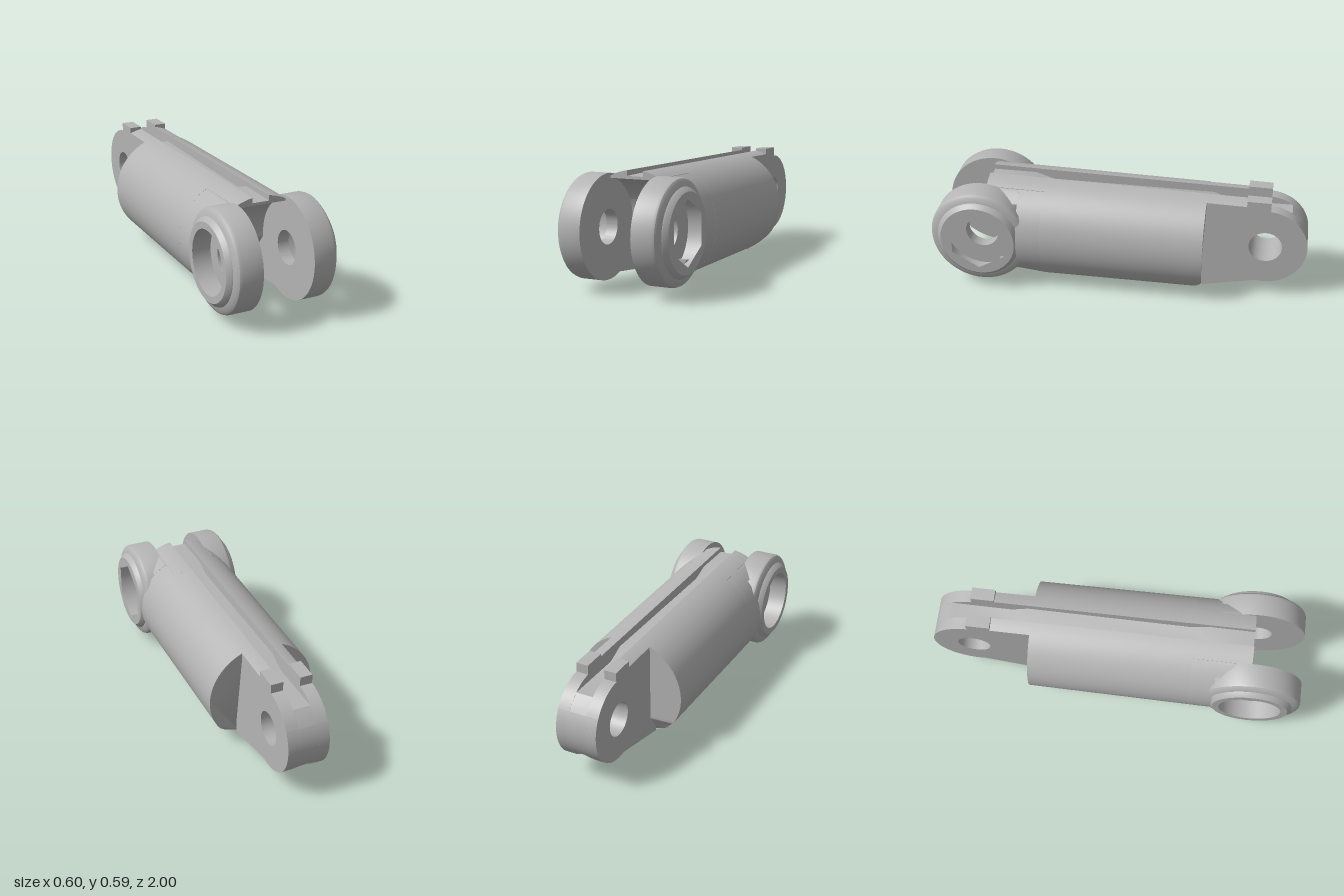
import * as THREE from 'three';
import { toCreasedNormals } from 'three/addons/utils/BufferGeometryUtils.js';

const BASE_R = 0.285, FLOOR = 0.004, TOP = 9; // TOP marks points that snap to the barrel's crown
const HALF_GAP = 0.137, HALF_TONGUE = 0.11, HALF_SLOT = 0.045;
const PIVOT_Y = 0.31, FRONT_Z = 0.735, BACK_Z = -0.78, TONGUE_R = 0.22, PIN_R = 0.088;
const BORE_Y = 0.131, BORE_R = 0.056;

const radiusAt = (z) => BASE_R + 0.0086 * (z + 0.46);
const crown = (x, z) => {
  const r = radiusAt(z);
  return FLOOR + r + Math.sqrt(r * r - x * x);
};
const bellyPlane = (z) => 0.005 + (-0.33 - z) * 0.215;
const boreHalf = (x) => Math.sqrt(Math.max(0, BORE_R ** 2 - x * x));
const tongueEnd = (y) => BACK_Z - Math.sqrt(TONGUE_R ** 2 - (y - PIVOT_Y) ** 2);

// Points along an arc, both ends included
function arc(cx, cy, r, a0, a1, n) {
  return Array.from({ length: n + 1 }, (_, i) => {
    const a = a0 + (a1 - a0) * i / n;
    return [cx + r * Math.cos(a), cy + r * Math.sin(a)];
  });
}
const circle = (cx, cy, r, n = 40) => arc(cx, cy, r, 0, Math.PI * 2 * (n - 1) / n, n - 1);

function extrude(points, hole, depth, steps) {
  const v = (p) => new THREE.Vector2(p[0], p[1]);
  const shape = new THREE.Shape(points.map(v));
  if (hole) shape.holes.push(new THREE.Path(hole.map(v)));
  return new THREE.ExtrudeGeometry(shape, { depth, steps, bevelEnabled: false });
}

function reshape(geo, rule) {
  const p = geo.attributes.position;
  const v = new THREE.Vector3();
  for (let i = 0; i < p.count; i++) {
    v.fromBufferAttribute(p, i);
    rule(v);
    p.setXYZ(i, v.x, v.y, v.z);
  }
  return geo;
}

export function createModel() {
  const group = new THREE.Group();
  const grey = new THREE.MeshStandardMaterial({ color: 0xb4b4b4 });

  const add = (name, geo) => {
    const mesh = new THREE.Mesh(toCreasedNormals(geo, 0.5), grey);
    mesh.name = name;
    group.add(mesh);
    return mesh;
  };
  // Side profile of [z, y] points swept across x
  const across = (name, points, x0, x1, { hole, steps = 1, rule } = {}) => {
    const flip = (p) => [-p[0], p[1]];
    const geo = extrude(points.map(flip), hole && hole.map(flip), x1 - x0, steps);
    geo.rotateY(Math.PI / 2).translate(x0, 0, 0);
    return add(name, rule ? reshape(geo, rule) : geo);
  };
  const acrossBoth = (name, points, x0, x1, opts) => {
    across(name + 'Left', points, x0, x1, opts);
    across(name + 'Right', points, -x1, -x0, opts);
  };
  // Cross-section of [x, y] points swept along z
  const along = (name, points, z0, z1, steps, hole, rule) =>
    add(name, reshape(extrude(points, hole, z1 - z0, steps).translate(0, 0, z0), rule));

  const taper = (v) => {
    const s = radiusAt(v.z) / BASE_R;
    const fixed = Math.abs(Math.abs(v.x) - HALF_GAP) < 0.001 || (v.y > 0.4 && Math.abs(v.x) < 0.05);
    if (!fixed) v.x *= s;
    v.y = FLOOR + (v.y - FLOOR) * s;
  };
  const snapCrown = (v) => { if (v.y > 1) v.y = crown(v.x, v.z); };

  // Tapered barrel with top slot, cable bore and undercut shoulder
  const a0 = Math.acos(HALF_SLOT / BASE_R);
  const section = [
    ...arc(0, FLOOR + BASE_R, BASE_R, a0, -Math.PI - a0, 72),
    [-HALF_SLOT, 0.45], [HALF_SLOT, 0.45],
  ];
  section[72] = [-HALF_SLOT, section[0][1]];
  along('barrel', section, -0.46, 0.4, 14, circle(0, BORE_Y, BORE_R), (v) => {
    if (v.z < -0.459 && v.y < 0.125) v.z += (0.125 - v.y) * 0.7;
    taper(v);
    if (v.z < -0.33) v.y = Math.max(v.y, bellyPlane(v.z));
  });

  // Barrel sides running into the fork
  const aMax = Math.acos(HALF_GAP / BASE_R);
  const bow = (from, to) => arc(0, FLOOR + BASE_R, BASE_R, from, to, 20);
  const cheekRule = (v) => {
    taper(v);
    if (v.y < 0.14) v.y += (v.z - 0.4) * 0.11;
  };
  for (const side of [1, -1]) {
    const label = side > 0 ? 'Left' : 'Right';
    const mirror = (pts) => pts.map((p) => [p[0] * side, p[1]]);
    along('cheek' + label, mirror(bow(-aMax, aMax)), 0.4, 0.53, 3, null, cheekRule);
    along('upperCheek' + label, mirror([...bow(0.783, aMax), [HALF_GAP, 0.49]]), 0.53, 0.66, 3, null, cheekRule);
    along('lowerCheek' + label, mirror([...bow(-aMax, -0.592), [HALF_GAP, 0.13]]), 0.53, 0.64, 3, null, cheekRule);
  }

  // Concave seat between the fork discs
  const seatR = 0.24;
  const aTop = Math.PI - Math.acos(0.025 / seatR);
  const aMid = Math.PI - Math.asin(0.11 / seatR);
  const aLow = Math.PI + Math.asin(0.025 / seatR);
  const seatUpper = arc(FRONT_Z, PIVOT_Y, seatR, aTop, aMid, 14);
  const seatLower = arc(FRONT_Z, PIVOT_Y, seatR, aMid, aLow, 10);
  acrossBoth('seatRoof', [[0.39, 0.42], [0.39, TOP], [0.71, TOP], ...seatUpper],
    HALF_SLOT, HALF_GAP, { steps: 6, rule: snapCrown });
  across('seatWall', [[0.39, 0.42], ...seatLower, [0.42, 0.187], [0.39, 0.187]], -HALF_GAP, HALF_GAP);

  // Stepped floor of the top slot
  across('slotFloor', [
    [tongueEnd(0.42), 0.42], [tongueEnd(0.455), 0.455], [tongueEnd(0.49), 0.49],
    [-0.58, 0.49], [-0.49, 0.53], [0.38, 0.53], [0.48, 0.563], [0.71, 0.563], ...seatUpper,
  ], -HALF_SLOT, HALF_SLOT);

  // Rear tongue: upper rails and stop pads
  const aSplit = Math.PI - Math.asin(0.11 / TONGUE_R);
  const tongueUpper = arc(BACK_Z, PIVOT_Y, TONGUE_R, Math.PI / 2 + 0.045, aSplit, 16);
  acrossBoth('tongueRail', [[-0.44, 0.42], [-0.44, TOP], [-0.79, TOP], ...tongueUpper],
    HALF_SLOT, HALF_TONGUE, { steps: 5, rule: snapCrown });
  acrossBoth('stopPad', [[-0.67, 0.5], [-0.67, 0.58], [-0.795, 0.578], [-0.795, 0.5]],
    HALF_SLOT, HALF_TONGUE);

  // Rear tongue: pivot eye, split around the cable bore
  const pin = circle(BACK_Z, PIVOT_Y, PIN_R);
  const aBelly = Math.PI * 1.5 - 0.03;
  acrossBoth('tongueSide', [
    [-0.4, 0.42], [-0.4, bellyPlane(-0.4)], [-0.74, bellyPlane(-0.74)],
    ...arc(BACK_Z, PIVOT_Y, TONGUE_R, aBelly, aSplit, 26),
  ], BORE_R, HALF_TONGUE, { hole: pin });
  const aBore = Math.PI + Math.asin((PIVOT_Y - 0.19) / TONGUE_R);
  across('tongueCore', [
    [-0.4, 0.42], [-0.4, BORE_Y], [tongueEnd(BORE_Y), BORE_Y],
    ...arc(BACK_Z, PIVOT_Y, TONGUE_R, aBore, aSplit, 18),
  ], -BORE_R, BORE_R, {
    hole: pin, steps: 14,
    rule: (v) => {
      if (Math.abs(v.y - BORE_Y) > 0.0001) return;
      v.y = BORE_Y + boreHalf(v.x);
      if (v.z < -0.6) v.z = tongueEnd(v.y);
    },
  });
  across('tongueBelly', [
    [-0.4, BORE_Y], [-0.4, bellyPlane(-0.4)], [-0.64, bellyPlane(-0.64)], [-0.9, BORE_Y],
  ], -BORE_R, BORE_R, {
    steps: 14,
    rule: (v) => {
      if (Math.abs(v.y - BORE_Y) > 0.0001) return;
      v.y = BORE_Y - boreHalf(v.x);
      if (v.z < -0.6) v.z = v.y < 0.093 ? -0.33 - (v.y - 0.005) / 0.215 : tongueEnd(v.y);
    },
  });

  // Fork discs: round pocket on the right, hexagonal pocket on the left
  const rim = [[PIN_R, HALF_GAP], [0.265, HALF_GAP], [0.265, 0.245], [0.26, 0.258],
    [0.248, 0.268], [0.222, 0.275], [0.22, 0.28], [0.2, 0.3]];
  const disc = (name, pocketR, side) => {
    const pts = [...rim, [pocketR, 0.3], [pocketR, 0.2], [PIN_R, 0.2], [PIN_R, HALF_GAP]]
      .map((p) => new THREE.Vector2(p[0], p[1]));
    const geo = new THREE.LatheGeometry(pts, 64);
    geo.rotateZ(-side * Math.PI / 2).translate(0, PIVOT_Y, FRONT_Z);
    add(name, geo);
  };
  disc('forkDiscRight', 0.165, -1);
  disc('forkDiscLeft', 0.199, 1);
  const hexagon = arc(FRONT_Z, PIVOT_Y, 0.165, Math.PI / 2, Math.PI / 2 + Math.PI * 5 / 3, 5);
  across('hexPocket', circle(FRONT_Z, PIVOT_Y, 0.2, 64), 0.2, 0.3, { hole: hexagon });

  return group;
}
